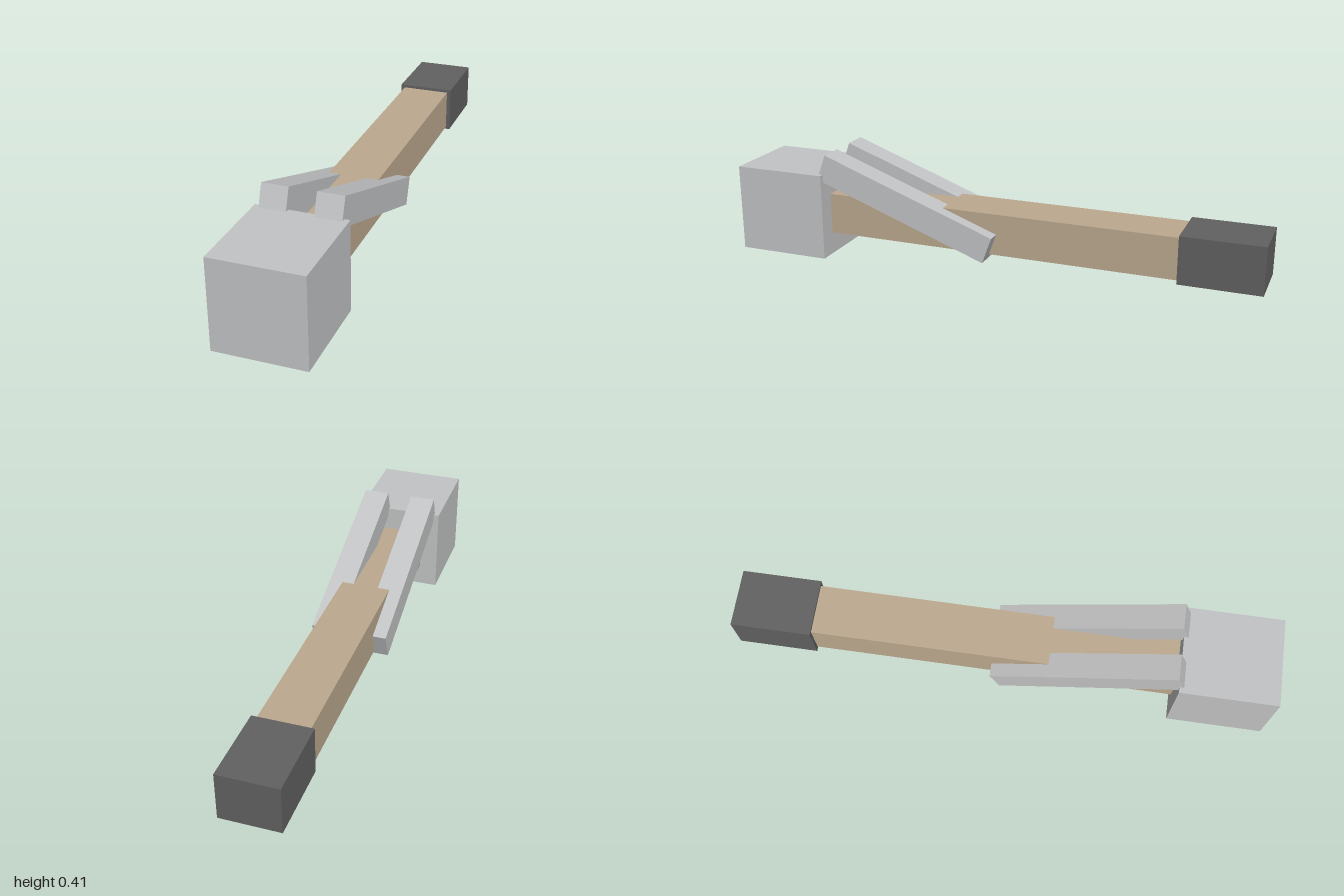
import * as THREE from 'three';

const material = (name, color) => {
  const m = new THREE.MeshStandardMaterial({ color });
  m.name = name;
  return m;
};

export function createModel() {
  const steel = material('steel grey', 0xc2c3c4);
  const wood = material('pale wood', 0xbca98f);
  const dark = material('dark grip', 0x616162);
  const model = new THREE.Group();
  model.name = 'hammer';

  const box = (name, mat, size, position) => {
    const mesh = new THREE.Mesh(new THREE.BoxGeometry(...size), mat);
    mesh.name = name;
    mesh.position.set(...position);
    model.add(mesh);
    return mesh;
  };

  // Block head, long shaft and end grip, laid along z
  box('head', steel, [0.326, 0.33, 0.356], [0, 0.165, 0.822]);
  box('handle', wood, [0.186, 0.156, 1.4], [0, 0.162, -0.03]);
  box('grip', dark, [0.216, 0.176, 0.296], [0, 0.163, -0.852]);

  // Mirrored pair of claws sloping down from the head
  for (const side of [1, -1]) {
    const claw = box(side > 0 ? 'leftClaw' : 'rightClaw', steel,
      [0.095, 0.104, 0.71], [side * 0.0955, 0.236, 0.317]);
    claw.rotation.x = -THREE.MathUtils.degToRad(20);
  }
  return model;
}
